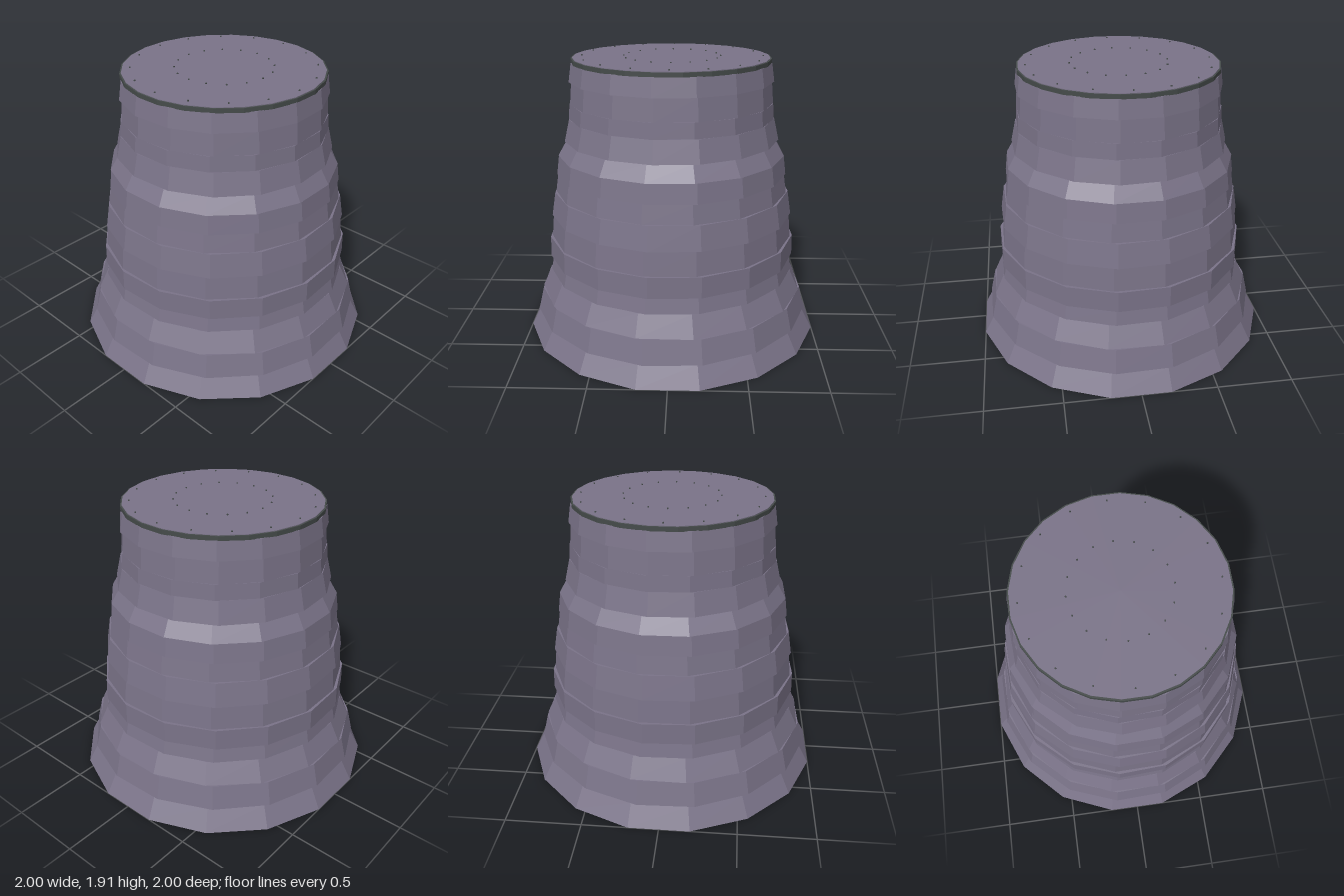
import * as THREE from 'three';

const SIDES = 16;

export function createModel() {
  const group = new THREE.Group();
  const stone = new THREE.MeshStandardMaterial({ color: 0x7a7388, flatShading: true });
  stone.name = 'stone';
  const iron = new THREE.MeshStandardMaterial({ color: 0x454b4a, flatShading: true });
  iron.name = 'darkIron';

  function disc(name, y0, y1, bottom, top, sides, material) {
    const geometry = new THREE.CylinderGeometry(top, bottom, y1 - y0, sides, 1, false, Math.PI / sides);
    const mesh = new THREE.Mesh(geometry, material);
    mesh.name = name;
    mesh.position.y = (y0 + y1) / 2;
    group.add(mesh);
    return mesh;
  }

  // Stacked tapered courses: base height, bottom radius, top radius, twist in degrees
  const courses = [
    [0, 1.02, 0.945, 0],
    [0.14, 0.96, 0.922, 2],
    [0.3, 0.918, 0.852, -1],
    [0.44, 0.856, 0.836, 2],
    [0.545, 0.855, 0.852, 3],
    [0.685, 0.837, 0.822, 1],
    [0.845, 0.832, 0.806, 3],
    [1.005, 0.796, 0.777, 0],
    [1.13, 0.785, 0.768, 2],
    [1.257, 0.77, 0.71, 1],
    [1.36, 0.726, 0.692, 4],
    [1.505, 0.69, 0.682, 2],
    [1.605, 0.68, 0.667, 4],
    [1.75, 0.682, 0.664, 3],
    [1.87],
  ];
  for (let i = 0; i < courses.length - 1; i++) {
    const [y, bottom, top, twist] = courses[i];
    const mesh = disc('course' + (i + 1), y, courses[i + 1][0], bottom, top, SIDES, stone);
    mesh.rotation.y = THREE.MathUtils.degToRad(twist);
    if (i > 0) mesh.position.x = mesh.position.z = 0.005;
  }

  // Dark rim with a stone-coloured deck on top
  const rim = disc('topRim', 1.868, 1.896, 0.662, 0.662, 24, iron);
  const deck = disc('topDeck', 1.892, 1.9, 0.652, 0.652, 24, stone);
  for (const part of [rim, deck]) part.position.x = part.position.z = 0.005;

  // Two rings of small studs
  for (const radius of [0.6, 0.32]) {
    for (let i = 0; i < 16; i++) {
      const angle = (i / 16) * Math.PI * 2;
      const stud = disc('stud', 1.896, 1.907, 0.006, 0.005, 6, iron);
      stud.position.x = radius * Math.sin(angle) + 0.005;
      stud.position.z = radius * Math.cos(angle);
    }
  }
  return group;
}
